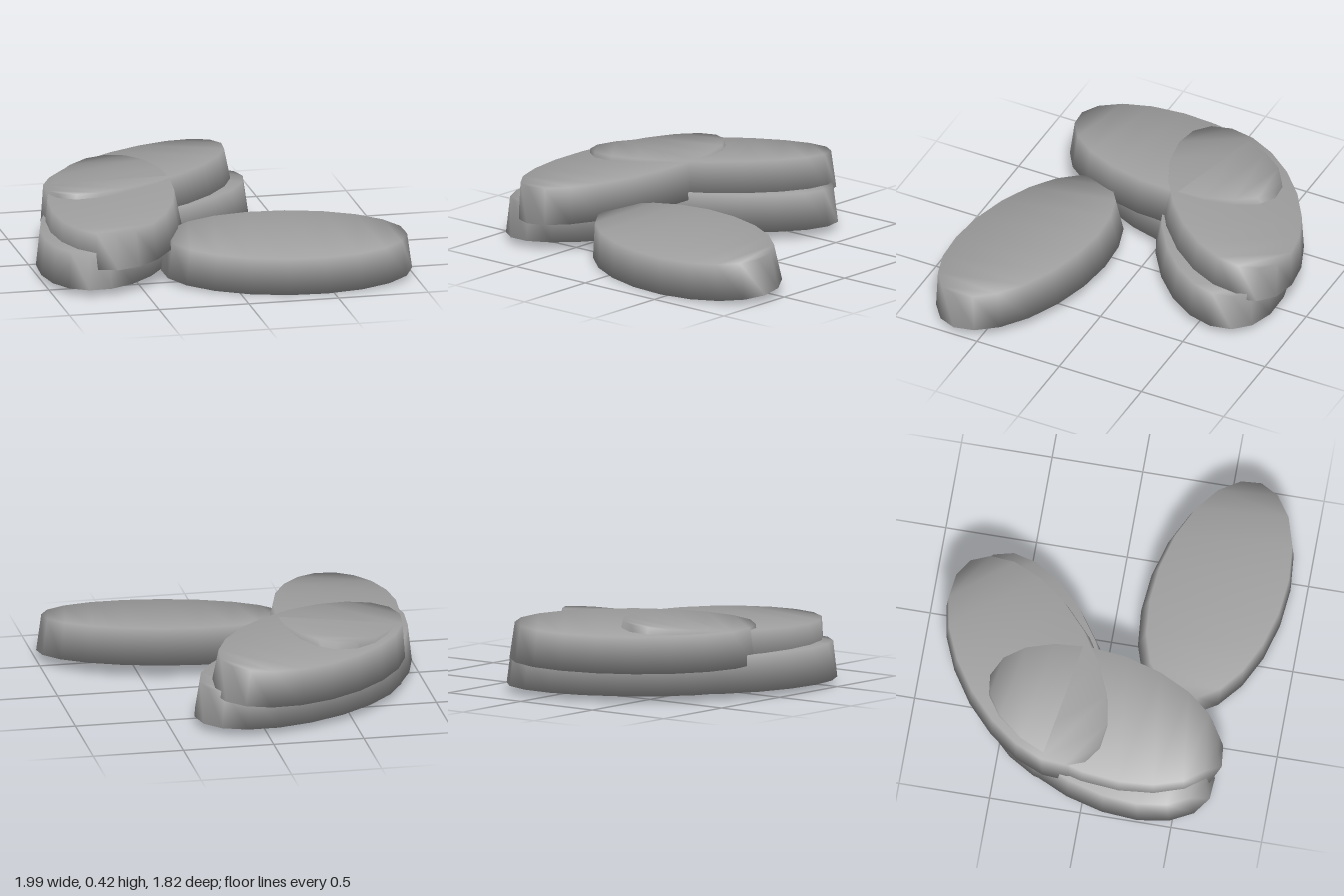
import * as THREE from 'three';

const SIDES = 20, LENGTH = 0.683, WIDTH = 0.373, THICK = 0.2, TAPER = 0.028;

// One elliptical slab: long axis turned by `deg` in plan, base lying on a plane
// with slopes sx, sz, walls leaning inwards, normals shared over the rim.
function slabGeometry(deg, sx, sz) {
  const a = THREE.MathUtils.degToRad(deg);
  const up = new THREE.Vector3(-sx, 1, -sz).normalize().multiplyScalar(THICK);
  const pos = [], index = [];
  for (const level of [0, 1]) {
    for (let i = 0; i < SIDES; i++) {
      const t = (i / SIDES) * Math.PI * 2;
      const u = (LENGTH - level * TAPER) * Math.cos(t);
      const v = (WIDTH - level * TAPER) * Math.sin(t);
      const x = u * Math.cos(a) - v * Math.sin(a);
      const z = u * Math.sin(a) + v * Math.cos(a);
      pos.push(x + up.x * level, sx * x + sz * z + up.y * level, z + up.z * level);
    }
  }
  const tri = (p, q, r) => {
    if (p !== q && q !== r && r !== p) index.push(p, q, r);
  };
  // Walls
  for (let i = 0; i < SIDES; i++) {
    const j = (i + 1) % SIDES;
    tri(i, i + SIDES, j + SIDES);
    tri(i, j + SIDES, j);
  }
  // Bottom and top faces, as strips across the width
  for (let k = 0; k < SIDES / 2; k++) {
    const p = k, q = k + 1, r = SIDES - k - 1, s = (SIDES - k) % SIDES;
    tri(p, q, r);
    tri(p, r, s);
    tri(r + SIDES, q + SIDES, p + SIDES);
    tri(s + SIDES, r + SIDES, p + SIDES);
  }
  const geo = new THREE.BufferGeometry();
  geo.setAttribute('position', new THREE.Float32BufferAttribute(pos, 3));
  geo.setIndex(index);
  geo.computeVertexNormals();
  return geo;
}

export function createModel() {
  const group = new THREE.Group();
  group.name = 'slabPile';
  const grey = new THREE.MeshStandardMaterial({ color: 0xa0a0a0 });
  grey.name = 'grey';

  // name, centre of base (x, y, z), plan angle, slope along x, slope along z
  const slabs = [
    ['looseSlab', 0.32, 0.04, 0.52, 10.7, 0.02, -0.105],
    ['lowerRightSlab', -0.58, 0.045, 0.04, 110, 0.03, 0],
    ['lowerBackSlab', -0.26, 0.046, -0.37, -30, 0.01, 0.03],
    ['upperRightSlab', -0.54, 0.186, 0.05, 100.3, 0.072, -0.035],
    ['upperBackSlab', -0.31, 0.194, -0.395, -38, 0.055, 0.06],
  ];
  for (const [name, x, y, z, deg, sx, sz] of slabs) {
    const mesh = new THREE.Mesh(slabGeometry(deg, sx, sz), grey);
    mesh.name = name;
    mesh.position.set(x, y, z);
    group.add(mesh);
  }
  return group;
}
